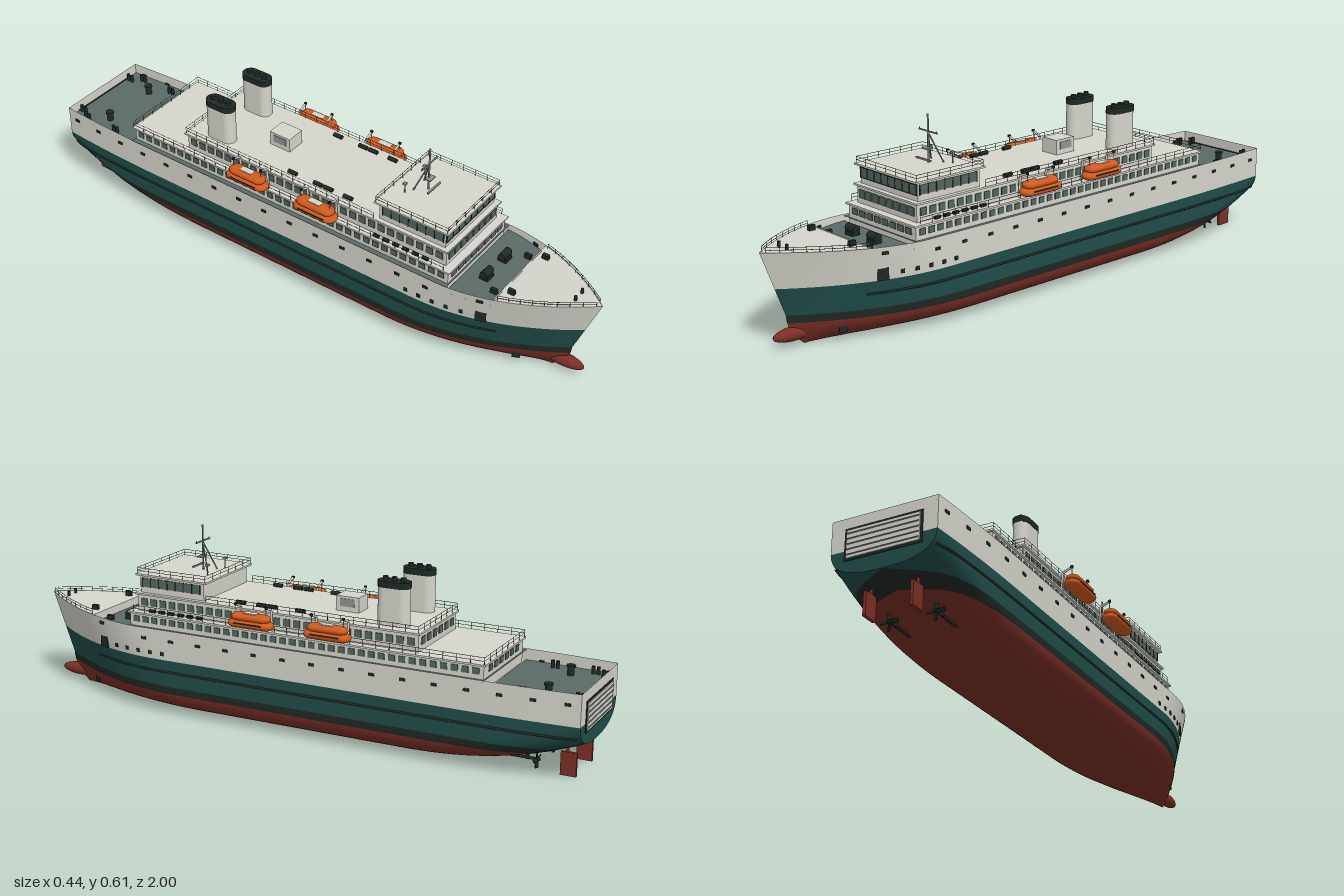
import * as THREE from 'three';
import { mergeGeometries } from 'three/addons/utils/BufferGeometryUtils.js';

const mat = (name, color, side = THREE.FrontSide) => {
  const m = new THREE.MeshStandardMaterial({ color, side });
  m.name = name;
  return m;
};
const WHITE = mat('off white', 0xd6d5cc, THREE.DoubleSide);
const TEAL = mat('teal', 0x1f4d49);
const RED = mat('antifouling red', 0x7c2f25);
const DARK = mat('black green', 0x1f2925);
const DECK = mat('deck grey', 0x5a6a67);
const GLASS = mat('window glass', 0x55665f);
const ORANGE = mat('rescue orange', 0xd05a1e);
const METAL = mat('metal grey', 0x8f9391);

// Hull form: stem rake, keel rise, sheer and half breadth
const clamp = (v) => Math.min(1, Math.max(0, v));
const STERN = -0.99;
const stem = (y) => (y > 0.1 ? 0.92 + (0.08 * (y - 0.1)) / 0.21 : 0.92 - 0.06 * ((0.1 - y) / 0.1) ** 2);
const keel = (z) => 0.11 * clamp((-0.4 - z) / 0.59) ** 2.3;
const sheer = (z) => 0.292 + 0.02 * clamp((z - 0.5) / 0.45);
function half(z, y) {
  const t = clamp((stem(y) - z) / (0.45 + (0.31 - y) * 0.4));
  const bilge = clamp((y - keel(z)) / 0.09);
  const stern = 1 - 0.08 * clamp((-0.6 - z) / 0.4) ** 2;
  return 0.185 * stern * (1 - (1 - t) ** 2) * (1 - (1 - bilge) ** 2.6) ** (1 / 2.6);
}

// Geometry helpers
const box = (w, h, d, x, y, z, ry = 0) => new THREE.BoxGeometry(w, h, d).rotateY(ry).translate(x, y, z);
const cyl = (r, h, x, y, z, n = 12) => new THREE.CylinderGeometry(r, r, h, n).translate(x, y, z);
function rod(a, b, r = 0.0012, n = 5) {
  const p = new THREE.Vector3(...a), d = new THREE.Vector3(...b).sub(p);
  const g = new THREE.CylinderGeometry(r, r, d.length(), n).translate(0, d.length() / 2, 0);
  g.applyQuaternion(new THREE.Quaternion().setFromUnitVectors(new THREE.Vector3(0, 1, 0), d.normalize()));
  return g.translate(...a);
}
function rail(pts, h = 0.022) {
  const out = [];
  for (let i = 0; i + 1 < pts.length; i++) {
    const [a, b] = [pts[i], pts[i + 1]];
    const n = Math.max(1, Math.round(Math.hypot(b[0] - a[0], b[2] - a[2]) / 0.045));
    for (const k of [0.5, 1]) out.push(rod([a[0], a[1] + h * k, a[2]], [b[0], b[1] + h * k, b[2]], 0.0008, 4));
    for (let j = 0; j <= n; j++) {
      const p = a.map((v, k) => v + ((b[k] - v) * j) / n);
      out.push(rod(p, [p[0], p[1] + h, p[2]], 0.0009, 4));
    }
  }
  return out;
}
// Thin plate lying on the hull side
function onHull(s, z, y, w, h, t = 0.006) {
  const a = Math.atan2(half(z + 0.01, y) - half(z - 0.01, y), 0.02);
  return box(t, h, w, s * half(z, y), y, z, s * a);
}

function hullGeometry() {
  const bands = [[0, 0.075, 9], [0.075, 0.1, 2], [0.1, 0.19, 9], [0.19, 1, 5]];
  const N = 72, pos = [], idx = bands.map(() => []), rowBand = [];
  const rowsAt = (z) => {
    const ys = [];
    bands.forEach(([lo, hi, n], b) => {
      const y0 = Math.max(lo, keel(z)), y1 = Math.max(Math.min(hi, sheer(z)), keel(z));
      for (let k = b ? 1 : 0; k <= n; k++) {
        const f = k / n;
        ys.push(y0 + (y1 - y0) * (b === 3 ? f : f ** 1.8));
        if (k) rowBand[ys.length - 2] = b;
      }
    });
    return ys;
  };
  const R = rowsAt(0).length - 1, C = 2 * R + 1;
  for (let i = 0; i <= N; i++) {
    const s = 1 - (1 - i / N) ** 1.5;
    const ys = rowsAt(STERN + s * 1.91);
    for (let c = 0; c < C; c++) {
      const y = ys[Math.abs(c - R)], z = STERN + s * (stem(y) - STERN);
      pos.push(Math.sign(c - R) * half(z, y), y, z);
    }
  }
  for (let i = 0; i < N; i++) for (let c = 0; c < C - 1; c++) {
    const a = i * C + c, b = a + C;
    idx[rowBand[c < R ? R - c - 1 : c - R]].push(a, a + 1, b, a + 1, b + 1, b);
  }
  // Flat transom
  const base = pos.length / 3;
  for (const y of rowsAt(STERN)) pos.push(-half(STERN, y), y, STERN, half(STERN, y), y, STERN);
  for (let r = 0; r < R; r++) {
    const a = base + 2 * r;
    idx[rowBand[r]].push(a, a + 2, a + 1, a + 1, a + 2, a + 3);
  }
  const g = new THREE.BufferGeometry();
  g.setAttribute('position', new THREE.Float32BufferAttribute(pos, 3));
  g.setIndex(idx.flat());
  let start = 0;
  idx.forEach((list, b) => { g.addGroup(start, list.length, b); start += list.length; });
  g.computeVertexNormals();
  return g;
}

// Deck plate fitted inside the hull outline
function deck(z0, z1, yOf, n = 20) {
  const g = new THREE.PlaneGeometry(1, 1, 2, n).rotateX(-Math.PI / 2), p = g.attributes.position;
  for (let i = 0; i < p.count; i++) {
    const z = z0 + (p.getZ(i) + 0.5) * (z1 - z0), y = yOf(z);
    p.setXYZ(i, p.getX(i) * 2 * half(z, y), y, z);
  }
  g.computeVertexNormals();
  return g;
}

export function createModel() {
  const ship = new THREE.Group();
  ship.name = 'ferry';
  const add = (name, material, geoms) => {
    const list = geoms.map((g) => {
      const f = g.index ? g.toNonIndexed() : g;
      f.deleteAttribute('uv');
      f.clearGroups();
      return f;
    });
    const m = new THREE.Mesh(mergeGeometries(list), material);
    m.name = name;
    ship.add(m);
  };
  const both = (fn) => [1, -1].flatMap(fn);
  const span = (a, b, n, fn) => Array.from({ length: n }, (_, i) => fn(a + ((b - a) * i) / (n - 1))).flat();

  const hull = new THREE.Mesh(hullGeometry(), [RED, DARK, TEAL, WHITE]);
  hull.name = 'hull';
  ship.add(hull);
  add('bulbousBow', RED, [new THREE.SphereGeometry(0.022, 20, 14).scale(1, 1, 3.4).translate(0, 0.04, 0.893)]);

  // Decks
  add('decks', DECK, [deck(STERN, -0.69, () => 0.255), deck(-0.69, 0.57, () => 0.287), deck(0.57, 0.72, () => 0.272)]);
  add('bowDeck', WHITE, [deck(0.72, 0.995, (z) => sheer(z) - 0.004, 30), box(0.3, 0.03, 0.004, 0, 0.284, 0.72)]);

  // Hull fittings
  add('rubbingStrakes', DARK, both((s) => {
    const pts = span(-0.98, 0.72, 40, (z) => [new THREE.Vector3(s * half(z, 0.15), 0.15, z)]);
    return [new THREE.TubeGeometry(new THREE.CatmullRomCurve3(pts), 100, 0.004, 6)];
  }));
  add('hullOpenings', DARK, both((s) => [
    ...span(-0.95, 0.5, 15, (z) => [onHull(s, z, 0.256, 0.018, 0.009)]),
    ...span(0.43, 0.62, 5, (z) => [onHull(s, z, 0.21, 0.012, 0.012)]),
    onHull(s, 0.68, 0.212, 0.035, 0.042), onHull(s, 0.68, 0.278, 0.02, 0.01),
    onHull(s, 0.77, 0.045, 0.025, 0.028),
  ]));
  add('sternDoorFrame', DARK, [box(0.25, 0.1, 0.005, 0, 0.208, STERN)]);
  add('sternDoor', WHITE, [box(0.235, 0.086, 0.005, 0, 0.208, STERN - 0.003)]);
  add('sternDoorRibs', METAL, span(0.175, 0.24, 5, (y) => [box(0.23, 0.003, 0.004, 0, y, STERN - 0.006)]));

  // Rudders, shafts and propellers
  add('rudders', RED, both((s) => [box(0.01, 0.075, 0.05, s * 0.075, 0.0375, -0.93), cyl(0.005, 0.04, s * 0.075, 0.085, -0.925)]));
  add('propellers', DARK, both((s) => {
    const x = s * 0.075, out = [rod([x, 0.035, -0.84], [x, 0.035, -0.6], 0.005, 8), box(0.005, 0.04, 0.012, x, 0.05, -0.8)];
    for (let k = 0; k < 4; k++)
      out.push(new THREE.BoxGeometry(0.012, 0.028, 0.003).rotateY(0.5).translate(0, 0.015, 0).rotateZ((k * Math.PI) / 2).translate(x, 0.035, -0.83));
    return out;
  }));

  // Superstructure: walls with overhanging roof slabs
  add('lowerHouse', WHITE, [box(0.326, 0.08, 1.25, 0, 0.292, -0.06), box(0.34, 0.006, 1.265, 0, 0.332, -0.06)]);
  add('upperHouse', WHITE, [box(0.288, 0.056, 1.01, 0, 0.363, 0.04), box(0.306, 0.006, 1.025, 0, 0.393, 0.04)]);
  add('bridge', WHITE, [box(0.276, 0.06, 0.24, 0, 0.425, 0.415), box(0.298, 0.006, 0.27, 0, 0.457, 0.415)]);
  add('houseWindows', GLASS, [
    ...both((s) => [
      ...span(-0.66, 0.54, 36, (z) => [box(0.004, 0.02, 0.022, s * 0.164, 0.312, z)]),
      ...span(-0.44, 0.52, 28, (z) => [box(0.004, 0.024, 0.024, s * 0.145, 0.366, z)]),
    ]),
    ...span(-0.119, 0.119, 8, (x) => [box(0.028, 0.027, 0.004, x, 0.366, 0.546)]),
    ...span(-0.13, 0.13, 8, (x) => [box(0.028, 0.02, 0.004, x, 0.312, 0.566)]),
    ...span(-0.11, 0.11, 6, (x) => [box(0.026, 0.024, 0.004, x, 0.366, -0.466), box(0.026, 0.02, 0.004, x, 0.312, -0.686)]),
  ]);
  add('bridgeWindows', GLASS, [box(0.27, 0.032, 0.005, 0, 0.431, 0.535), ...both((s) => [box(0.005, 0.03, 0.22, s * 0.138, 0.431, 0.418)])]);
  add('bridgeMullions', DARK, [
    ...span(-0.135, 0.135, 9, (x) => [box(0.003, 0.034, 0.004, x, 0.431, 0.537)]),
    ...both((s) => span(0.308, 0.528, 8, (z) => [box(0.004, 0.032, 0.003, s * 0.14, 0.431, z)])),
    ...[0.415, 0.447].map((y) => box(0.273, 0.002, 0.004, 0, y, 0.537)),
  ]);
  add('roofHousing', WHITE, [box(0.066, 0.05, 0.08, 0, 0.42, -0.17)]);
  add('roofVents', METAL, both((s) => [box(0.002, 0.025, 0.05, s * 0.034, 0.425, -0.17)]));

  // Funnels with oval section
  const oval = (w, l, h, x, y, z) => {
    const r = w / 2, e = l / 2 - r, sh = new THREE.Shape();
    sh.absarc(0, e, r, 0, Math.PI).absarc(0, -e, r, Math.PI, 2 * Math.PI).closePath();
    return new THREE.ExtrudeGeometry(sh, { depth: h, bevelEnabled: false, curveSegments: 12 }).rotateX(-Math.PI / 2).translate(x, y, z);
  };
  add('funnels', WHITE, both((s) => [oval(0.052, 0.106, 0.122, s * 0.094, 0.394, -0.36)]));
  add('funnelCaps', DARK, both((s) => [oval(0.055, 0.109, 0.02, s * 0.094, 0.515, -0.36),
    ...[-0.39, -0.36, -0.33].map((z) => cyl(0.009, 0.014, s * 0.094, 0.539, z))]));

  // Lifeboats on davits
  const boats = [0.09, -0.18];
  const pod = (r, l, sy, x, y, z) => new THREE.CapsuleGeometry(r, l, 8, 20).rotateX(Math.PI / 2).scale(1, sy, 1).translate(x, y, z);
  const perBoat = (fn) => both((s) => boats.flatMap((z) => fn(s, z)));
  add('lifeboats', ORANGE, perBoat((s, z) => [pod(0.028, 0.104, 0.55, s * 0.19, 0.36, z), pod(0.024, 0.09, 0.6, s * 0.189, 0.381, z)]));
  add('lifeboatHatches', WHITE, perBoat((s, z) => [box(0.022, 0.006, 0.045, s * 0.189, 0.393, z)]));
  add('lifeboatRims', DARK, perBoat((s, z) => [box(0.002, 0.004, 0.1, s * 0.218, 0.364, z)]));
  add('davits', WHITE, perBoat((s, z) => [-0.055, 0.055].flatMap((d) => [
    rod([s * 0.152, 0.335, z + d], [s * 0.158, 0.405, z + d], 0.004, 6),
    rod([s * 0.158, 0.405, z + d], [s * 0.19, 0.418, z + d], 0.004, 6),
    rod([s * 0.19, 0.418, z + d], [s * 0.19, 0.385, z + d], 0.0015)])));
  add('davitHeads', DARK, perBoat((s, z) => [-0.055, 0.055].map((d) => box(0.008, 0.008, 0.008, s * 0.19, 0.419, z + d))));

  // Liferafts and deck machinery
  add('rafts', DARK, both((s) => [
    ...[0.165, 0.09, 0.05, -0.05].map((z) => new THREE.CylinderGeometry(0.007, 0.007, 0.032, 10).rotateX(Math.PI / 2).translate(s * 0.122, 0.405, z)),
    ...span(0.3, 0.48, 6, (z) => [new THREE.CylinderGeometry(0.006, 0.006, 0.02, 8).rotateX(Math.PI / 2).translate(s * 0.16, 0.343, z)]),
  ]));
  add('winches', DARK, both((s) => [box(0.036, 0.012, 0.03, s * 0.053, 0.278, 0.635),
    new THREE.CylinderGeometry(0.013, 0.013, 0.042, 12).rotateZ(Math.PI / 2).translate(s * 0.053, 0.292, 0.635)]));
  add('bollards', DARK, both((s) => [
    cyl(0.011, 0.03, s * 0.1, 0.27, -0.865), cyl(0.014, 0.006, s * 0.1, 0.285, -0.865),
    ...[-0.8, -0.93, -0.97].flatMap((z) => [-0.008, 0.008].map((d) => cyl(0.006, 0.024, s * (z < -0.95 ? 0.12 : 0.145), 0.267, z + d))),
    ...[0.69, 0.75].map((z) => box(0.012, 0.016, 0.022, s * 0.1, z > 0.72 ? 0.308 : 0.28, z)),
    cyl(0.005, 0.016, s * 0.02, 0.315, 0.92),
  ]));

  // Mast, yard and radar posts
  add('mast', METAL, [
    rod([0, 0.46, 0.38], [0, 0.612, 0.38], 0.003, 8),
    ...both((s) => [rod([s * 0.03, 0.46, 0.345], [0, 0.555, 0.38], 0.0025, 6), rod([s * 0.055, 0.46, 0.33], [s * 0.055, 0.492, 0.33], 0.002, 6),
      box(0.011, 0.007, 0.011, s * 0.055, 0.493, 0.33), cyl(0.002, 0.008, s * 0.04, 0.56, 0.38, 6)]),
    box(0.088, 0.004, 0.004, 0, 0.558, 0.38), box(0.07, 0.005, 0.006, 0, 0.474, 0.4), box(0.03, 0.004, 0.02, 0, 0.505, 0.385),
  ]);

  // Railings
  const bowRail = (s) => span(0.73, 0.985, 9, (z) => [[s * half(z, 0.305) * 0.96, sheer(z) - 0.004, z]]);
  add('railings', DARK, [
    ...rail([[-0.145, 0.46, 0.285], [-0.145, 0.46, 0.545], [0.145, 0.46, 0.545], [0.145, 0.46, 0.285], [-0.145, 0.46, 0.285]], 0.02),
    ...rail([[-0.15, 0.396, 0.28], [-0.15, 0.396, -0.468], [0.15, 0.396, -0.468], [0.15, 0.396, 0.28]]),
    ...rail([[-0.167, 0.335, 0.55], [-0.167, 0.335, -0.688], [0.167, 0.335, -0.688], [0.167, 0.335, 0.55]]),
    ...both((s) => rail(bowRail(s), 0.016)),
  ]);
  return ship;
}
